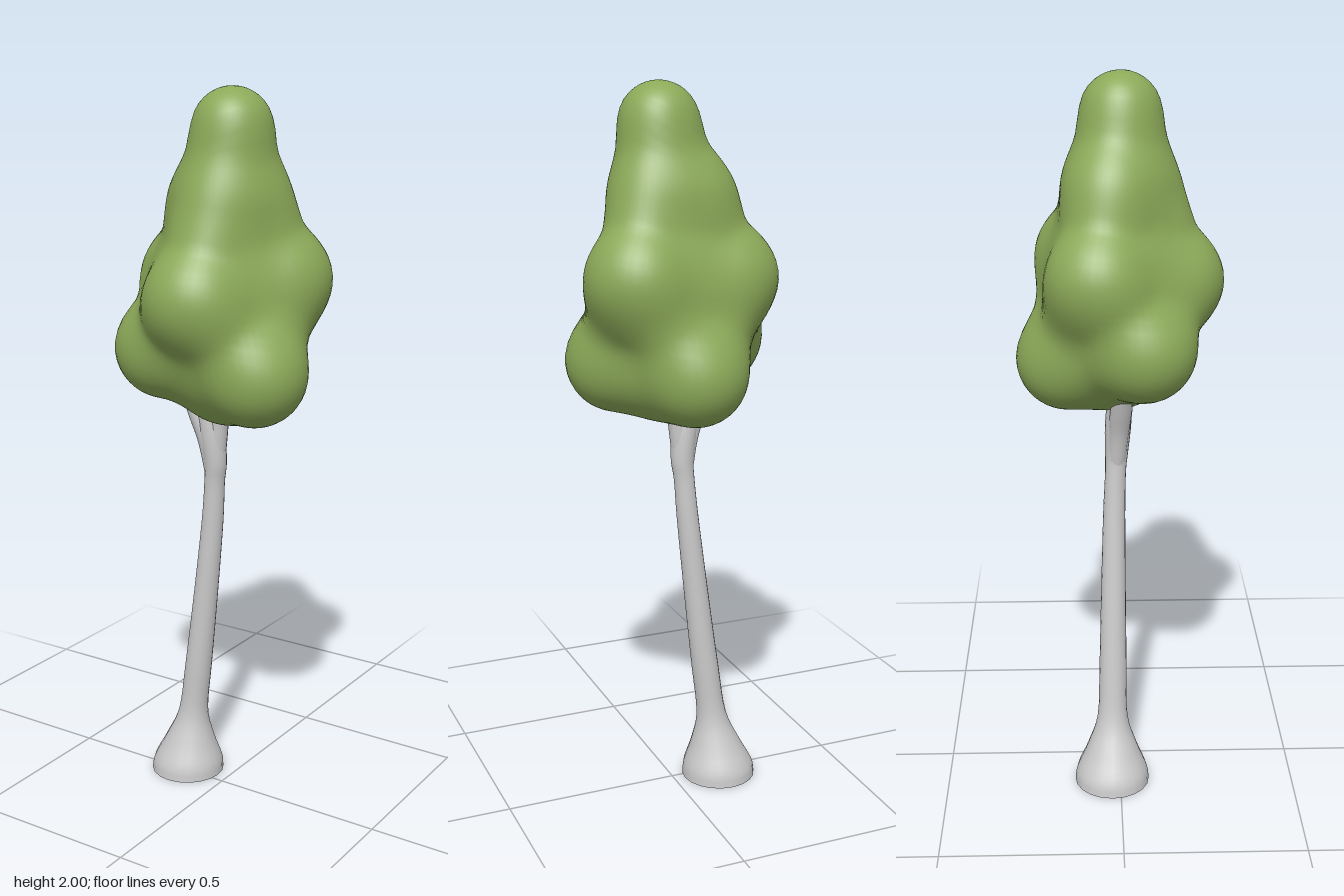
import * as THREE from 'three';
import { mergeVertices } from 'three/addons/utils/BufferGeometryUtils.js';

const bark = new THREE.MeshStandardMaterial({ color: 0xcccccc, side: THREE.DoubleSide });
const leaf = new THREE.MeshStandardMaterial({ color: 0x8caa59 });

// Weld the seam so the smooth normals run all the way round
function smooth(geometry) {
  geometry.deleteAttribute('uv');
  geometry.deleteAttribute('normal');
  const welded = mergeVertices(geometry, 1e-5);
  welded.computeVertexNormals();
  return welded;
}

// Open limb of level rings through sections [x, y, z, radius]
function limb(name, sections, sides = 20, rows = 40) {
  const path = new THREE.CatmullRomCurve3(
    sections.map(([x, y, z]) => new THREE.Vector3(x, y, z)), false, 'catmullrom', 0.5);
  const radii = new THREE.CatmullRomCurve3(
    sections.map((s) => new THREE.Vector3(s[3], 0, 0)), false, 'catmullrom', 0.5);
  const geometry = new THREE.CylinderGeometry(1, 1, 1, sides, rows, true);
  const pos = geometry.attributes.position;
  for (let i = 0; i < pos.count; i++) {
    const t = THREE.MathUtils.clamp(pos.getY(i) + 0.5, 0, 1);
    const c = path.getPoint(t), r = radii.getPoint(t).x;
    pos.setXYZ(i, c.x + pos.getX(i) * r, c.y, c.z + pos.getZ(i) * r);
  }
  const mesh = new THREE.Mesh(smooth(geometry), bark);
  mesh.name = name;
  return mesh;
}

// Leaf masses [x, y, z, radius]
const lobes = {
  top: [0.036, 1.896, 0.005, 0.087],
  shoulder: [-0.045, 1.7, -0.025, 0.108],
  upperRight: [-0.132, 1.49, -0.055, 0.113],
  upperBack: [0.128, 1.5, -0.083, 0.115],
  upperFront: [0.01, 1.46, 0.137, 0.114],
  lowRight: [-0.142, 1.31, 0.06, 0.115],
  lowLeft: [0.139, 1.265, 0.055, 0.116],
  lowBack: [-0.01, 1.25, -0.138, 0.115],
  coreHigh: [0.025, 1.7, 0, 0.142],
  core: [0.0, 1.47, 0, 0.178],
  coreLow: [0.015, 1.25, -0.01, 0.15],
};

// Tapered ridges joining the masses
const ridges = [
  ['top', 'shoulder'], ['shoulder', 'upperRight'], ['top', 'upperBack'], ['top', 'upperFront'],
  ['upperRight', 'upperBack'], ['upperBack', 'upperFront'], ['upperFront', 'upperRight'],
  ['upperRight', 'lowRight'], ['upperRight', 'lowBack'], ['upperFront', 'lowRight'],
  ['upperFront', 'lowLeft'], ['upperBack', 'lowLeft'], ['upperBack', 'lowBack'],
  ['lowRight', 'lowLeft'], ['lowLeft', 'lowBack'], ['lowBack', 'lowRight'],
  ['coreHigh', 'core'], ['core', 'coreLow'],
].map(([from, to]) => {
  const [a, b] = [lobes[from], lobes[to]];
  const d = [b[0] - a[0], b[1] - a[1], b[2] - a[2]];
  return { a, d, taper: b[3] - a[3], len2: d[0] ** 2 + d[1] ** 2 + d[2] ** 2 };
});

// Distance to the ridges, blended softly where they meet
function foliageDistance(p) {
  const k = 0.055;
  let dist = 10;
  for (const { a, d, taper, len2 } of ridges) {
    const x = p.x - a[0], y = p.y - a[1], z = p.z - a[2];
    const t = Math.min(1, Math.max(0, (x * d[0] + y * d[1] + z * d[2]) / len2));
    const e = Math.hypot(x - d[0] * t, y - d[1] * t, z - d[2] * t) - a[3] - taper * t;
    const h = Math.max(k - Math.abs(dist - e), 0) / k;
    dist = Math.min(dist, e) - h * h * k * 0.25;
  }
  return dist;
}

// A sphere whose points are pushed out along rays to the blended surface
function foliage() {
  const geometry = new THREE.SphereGeometry(1, 72, 64);
  const pos = geometry.attributes.position;
  const centre = new THREE.Vector3(0.01, 1.46, 0);
  const dir = new THREE.Vector3(), p = new THREE.Vector3();
  for (let i = 0; i < pos.count; i++) {
    dir.fromBufferAttribute(pos, i);
    dir.set(dir.x * 0.26, dir.y * 0.46, dir.z * 0.26).normalize();
    const at = (t) => foliageDistance(p.copy(centre).addScaledVector(dir, t));
    let outer = 0.7;
    while (outer > 0.02 && at(outer) > 0) outer -= 0.01;
    let inner = outer;
    outer += 0.01;
    for (let n = 0; n < 10; n++) {
      const mid = (inner + outer) / 2;
      if (at(mid) > 0) outer = mid; else inner = mid;
    }
    p.copy(centre).addScaledVector(dir, inner);
    pos.setXYZ(i, p.x, p.y, p.z);
  }
  const mesh = new THREE.Mesh(smooth(geometry), leaf);
  mesh.name = 'foliage';
  return mesh;
}

export function createModel() {
  const tree = new THREE.Group();
  tree.name = 'tree';
  tree.add(
    // Leaning trunk with a flared foot
    limb('trunk', [
      [-0.138, 0, -0.024, 0.107],
      [-0.136, 0.04, -0.024, 0.101],
      [-0.128, 0.11, -0.023, 0.071],
      [-0.115, 0.2, -0.022, 0.043],
      [-0.095, 0.35, -0.02, 0.039],
      [-0.068, 0.57, -0.018, 0.035],
      [-0.042, 0.8, -0.015, 0.031],
      [-0.032, 0.92, -0.011, 0.029],
      [-0.027, 0.98, -0.008, 0.032],
      [-0.034, 1.06, -0.004, 0.036],
      [-0.045, 1.14, 0, 0.034],
    ]),
    // Fork running up into the leaves
    limb('leftBranch', [
      [-0.026, 0.95, -0.008, 0.024],
      [-0.02, 1.04, -0.006, 0.028],
      [-0.01, 1.12, -0.004, 0.028],
      [0.02, 1.25, 0, 0.024],
    ], 14, 16),
    limb('rightBranch', [
      [-0.034, 0.95, -0.008, 0.024],
      [-0.048, 1.04, -0.002, 0.028],
      [-0.075, 1.12, 0.004, 0.03],
      [-0.12, 1.23, 0.01, 0.024],
    ], 14, 16),
    foliage(),
  );
  return tree;
}
